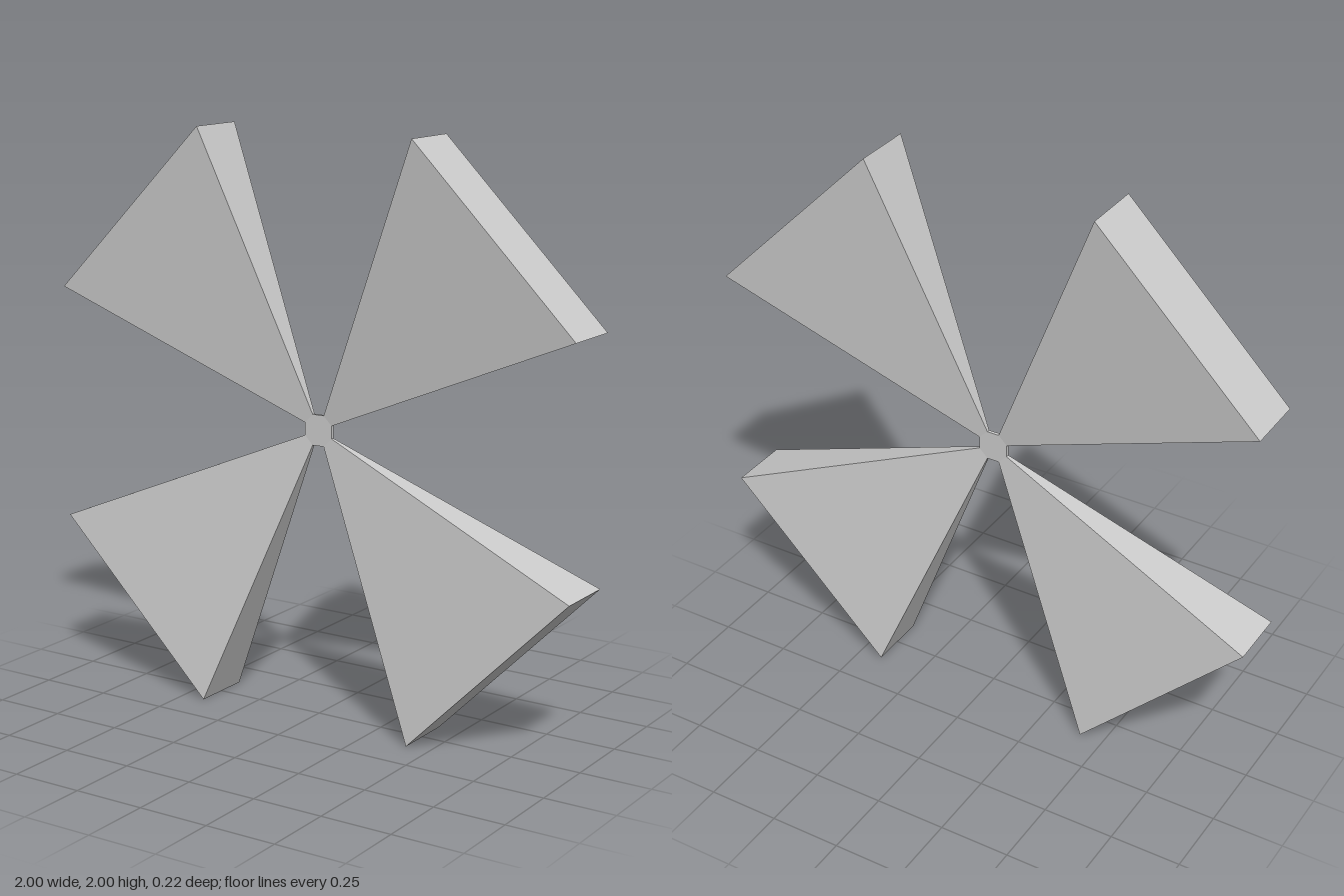
import * as THREE from 'three';

const HALF_DEPTH = 0.108;
const INNER = 0.053; // hub apothem; each blade tapers in proportion to its distance from the axis
const HALF_WIDTH = Math.tan(Math.PI / 8);

// Tapered wedge pointing at the axis, running outward along +y
function bladeGeometry() {
  const geo = new THREE.BoxGeometry(2, 2, 2).toNonIndexed();
  const p = geo.attributes.position;
  for (let i = 0; i < p.count; i++) {
    const r = p.getY(i) > 0 ? 1 : INNER;
    p.setXYZ(i, p.getX(i) * HALF_WIDTH * r, r, p.getZ(i) * HALF_DEPTH * r);
  }
  geo.computeVertexNormals();
  return geo;
}

export function createModel() {
  const model = new THREE.Group();
  model.name = 'fourBladeRotor';
  const material = new THREE.MeshStandardMaterial({ color: 0xcccccc, flatShading: true });

  // Four diagonal blades
  const geo = bladeGeometry();
  for (let i = 0; i < 4; i++) {
    const blade = new THREE.Mesh(geo, material);
    blade.name = `blade${i + 1}`;
    blade.rotation.z = Math.PI / 4 + (i * Math.PI) / 2;
    blade.position.y = 1;
    model.add(blade);
  }

  // Thin octagonal hub whose slanted sides meet the blade roots
  const hubGeo = new THREE.CylinderGeometry(
    INNER / Math.cos(Math.PI / 8), INNER / Math.cos(Math.PI / 8), 2 * HALF_DEPTH * INNER, 8);
  hubGeo.rotateY(Math.PI / 8).rotateX(Math.PI / 2);
  const hub = new THREE.Mesh(hubGeo, material);
  hub.name = 'hub';
  hub.position.y = 1;
  model.add(hub);

  return model;
}
